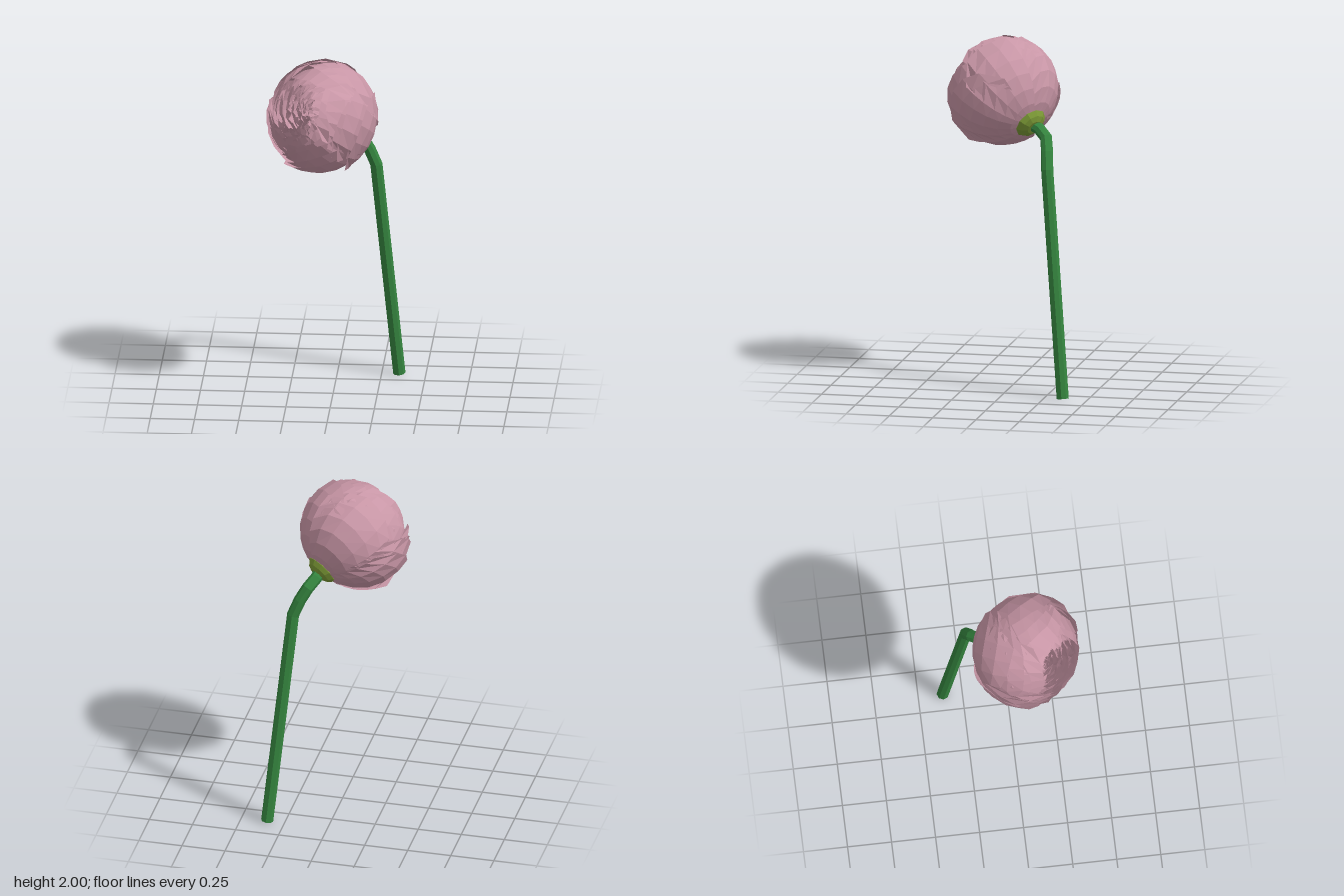
import * as THREE from 'three';

const V = (x, y, z) => new THREE.Vector3(x, y, z);
const mat = (color) => new THREE.MeshStandardMaterial({ color, flatShading: true, side: THREE.DoubleSide });

// Seeded noise in -a..a
let seed = 7;
const jitter = (a) => {
  seed = (seed * 16807) % 2147483647;
  return a * ((seed / 2147483647) * 2 - 1);
};

// Group at the head centre whose y axis runs along the given direction
function headFrame(name, direction) {
  const axis = direction.normalize();
  const side = V(0, 1, 0).cross(axis).normalize();
  const group = new THREE.Group();
  group.name = name;
  group.quaternion.setFromRotationMatrix(
    new THREE.Matrix4().makeBasis(side, axis, side.clone().cross(axis)));
  group.position.set(-0.058, 1.68, 0.07);
  return group;
}

// One cupped petal: a patch of a flattened sphere from the base up to a rounded, slightly ragged tip
function petalGeometry({ radius, shift, azimuth, halfWidth, start, tip, drop, tilt, flare, ragged }) {
  const nu = 6, nv = 6;
  const geo = new THREE.PlaneGeometry(1, 1, nu, nv);
  const pos = geo.attributes.position;
  const lean = jitter(0.12);
  for (let j = 0; j <= nv; j++) {
    for (let i = 0; i <= nu; i++) {
      const u = (i / nu) * 2 - 1, v = j / nv;
      const rough = v > 0.7 ? ragged : ragged * 0.12;
      const top = tip + drop * Math.abs(u) ** 2.5 + lean * u + (j === nv ? jitter(ragged) : 0);
      const polar = start + (top - start) * v;
      const flat = 1 - 0.07 * Math.min(0, Math.cos(polar)) ** 2;
      const r = radius * flat * (1 + tilt * u * Math.min(1, v * 2) + flare * v ** 4 + jitter(rough * 0.3));
      const a = azimuth + u * halfWidth;
      pos.setXYZ(j * (nu + 1) + i,
        r * Math.sin(polar) * Math.cos(a),
        r * Math.cos(polar) + shift,
        r * Math.sin(polar) * Math.sin(a));
    }
  }
  geo.computeVertexNormals();
  return geo;
}

export function createModel() {
  const model = new THREE.Group();
  model.name = 'flower';
  const pink = mat(0xc896a6), green = mat(0x35853f), olive = mat(0x7c9a36);

  // The heart of the bloom nods a little lower than the outer cup
  const cup = headFrame('outerCup', V(-0.52, 0.52, 0.65));
  const heart = headFrame('innerHeart', V(-0.52, 0.34, 0.72));
  model.add(cup, heart);

  // Layers from the outside in: [scale, petals, tip angle in degrees, raggedness]
  const layers = [
    [1.0, 5, 72, 0.03], [0.97, 5, 60, 0.03], [0.94, 5, 52, 0.04], [0.9, 5, 41, 0.05],
    [0.84, 5, 39, 0.07], [0.77, 6, 38, 0.09], [0.7, 6, 37, 0.12], [0.62, 6, 36, 0.15],
    [0.54, 6, 34, 0.18], [0.46, 6, 32, 0.2], [0.37, 6, 30, 0.22], [0.28, 5, 28, 0.24],
    [0.18, 4, 25, 0.24],
  ];
  layers.forEach(([k, count, tipDeg, ragged], n) => {
    const outer = n < 3;
    const layer = new THREE.Group();
    layer.name = `petalLayer${n + 1}`;
    for (let p = 0; p < count; p++) {
      const azimuth = n * 2.4 + 0.1 + (p / count) * Math.PI * 2 + jitter(0.12);
      // Outer petals are shorter and more flared on the lower side, longer on top
      const low = outer ? Math.sin(azimuth + 0.9) : 0;
      const mesh = new THREE.Mesh(petalGeometry({
        radius: 0.32 * k, shift: (1 - k) * 0.06, azimuth,
        halfWidth: (Math.PI / count) * 1.4,
        start: n < 4 ? 2.95 : 2.2,
        tip: THREE.MathUtils.degToRad(tipDeg) + 0.14 * low + jitter(0.08),
        drop: outer ? 0.5 : 0.3,
        tilt: outer ? 0.025 : 0.03 + n * 0.012,
        flare: outer ? (0.03 + 0.04 * low) * (1 - n * 0.35) : 0,
        ragged,
      }), pink);
      mesh.name = 'petal';
      layer.add(mesh);
    }
    (outer ? cup : heart).add(layer);
  });

  // Calyx cup under the bloom
  const calyx = new THREE.Mesh(new THREE.LatheGeometry([
    [0.0, -0.325], [0.045, -0.325], [0.075, -0.31], [0.096, -0.285], [0.09, -0.27],
  ].map(([x, y]) => new THREE.Vector2(x, y)), 10), olive);
  calyx.name = 'calyx';
  cup.add(calyx);

  // Bent stem: one ring per path point
  const path = [
    V(0.35, 0.004, -0.36), V(0.228, 1.29, -0.244), V(0.19, 1.385, -0.235),
    V(0.148, 1.46, -0.22), V(0.112, 1.502, -0.172), V(0.095, 1.53, -0.11),
  ];
  const last = path.length - 1;
  const curve = new THREE.Curve();
  curve.getPointAt = (t) => path[Math.round(t * last)].clone();
  curve.getTangentAt = (t) => {
    const i = Math.round(t * last);
    const ahead = path[Math.min(i + 1, last)].clone().sub(path[i]).normalize();
    const behind = path[i].clone().sub(path[Math.max(i - 1, 0)]).normalize();
    return ahead.add(behind).normalize();
  };
  const stem = new THREE.Mesh(new THREE.TubeGeometry(curve, last, 0.035, 8, false), green);
  stem.name = 'stem';
  model.add(stem);

  // Cut end of the stem
  const cut = new THREE.Mesh(new THREE.CircleGeometry(0.034, 8), green);
  cut.name = 'stemEnd';
  cut.position.copy(path[0]);
  cut.quaternion.setFromUnitVectors(V(0, 0, 1), curve.getTangentAt(0).negate());
  model.add(cut);

  return model;
}
